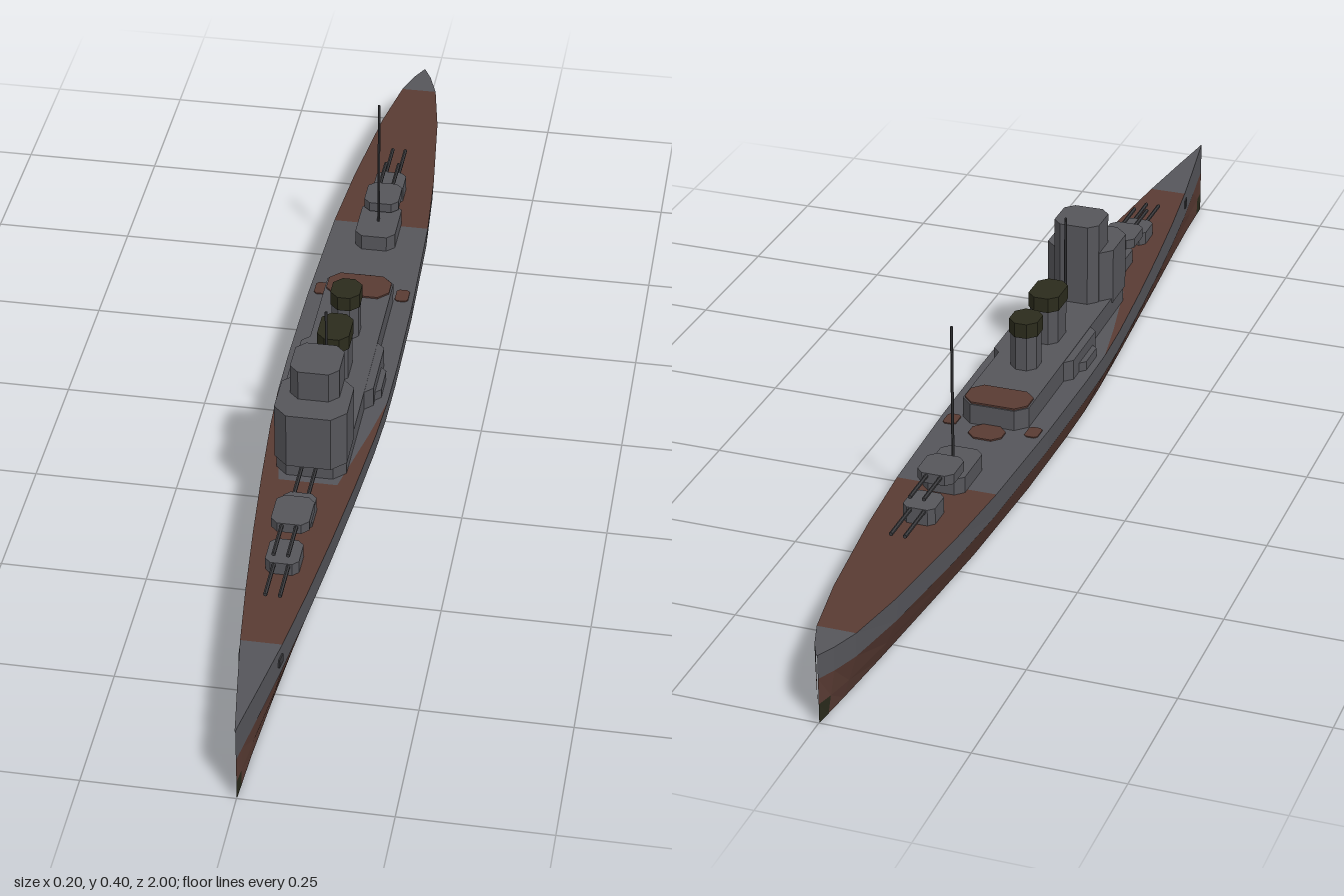
import * as THREE from 'three';

const mat = (name, color, side = THREE.FrontSide) => {
  const m = new THREE.MeshStandardMaterial({ color, flatShading: true, side });
  m.name = name;
  return m;
};

export function createModel() {
  const grey = mat('ship grey', 0x55555a);
  const red = mat('hull red', 0x593b33);
  const wood = mat('deck brown', 0x593b33);
  const dark = mat('funnel black', 0x2b2b1c);
  const gun = mat('gun grey', 0x3a3a3d);
  const ship = new THREE.Group();
  ship.name = 'warship';

  const add = (name, geo, material, parent = ship) => {
    const m = new THREE.Mesh(geo, material);
    m.name = name;
    parent.add(m);
    return m;
  };

  // Box with chamfered corners in plan; y0..y1 high, z0..z1 long
  const block = (name, hw, z0, z1, y0, y1, c, material = grey, x = 0) => {
    const h = (z1 - z0) / 2;
    const pts = [[hw, -h + c], [hw, h - c], [hw - c, h], [c - hw, h], [-hw, h - c], [-hw, c - h], [c - hw, -h], [hw - c, -h]];
    const shape = new THREE.Shape(pts.map(p => new THREE.Vector2(p[0], p[1])));
    const geo = new THREE.ExtrudeGeometry(shape, { depth: y1 - y0, bevelEnabled: false });
    geo.rotateX(-Math.PI / 2).translate(x, y0, (z0 + z1) / 2);
    return add(name, geo, material);
  };

  // Hull stations: z, half width at deck, half width at keel, deck height
  const stations = [
    [-1, 0.001, 0.001, 0.122], [-0.97, 0.016, 0.004, 0.122], [-0.92, 0.033, 0.009, 0.122],
    [-0.8, 0.054, 0.02, 0.122], [-0.6, 0.076, 0.036, 0.122], [-0.44, 0.088, 0.048, 0.122],
    [-0.2, 0.096, 0.058, 0.121], [0, 0.098, 0.06, 0.12], [0.1, 0.097, 0.059, 0.12],
    [0.2, 0.092, 0.055, 0.121], [0.35, 0.08, 0.045, 0.123], [0.5, 0.066, 0.034, 0.126],
    [0.65, 0.05, 0.023, 0.129], [0.78, 0.034, 0.013, 0.133], [0.9, 0.016, 0.005, 0.137],
    [0.97, 0.005, 0.002, 0.139], [1, 0.0005, 0.0005, 0.14],
  ];
  // Section points of one station from keel to deck edge
  const section = ([z, w, k, top]) => {
    const wl = w * 0.97;
    return [[k, 0, z], [k + (wl - k) * 0.42, 0.034, z], [wl, 0.08, z], [w, top, z]];
  };
  const flip = p => [-p[0], p[1], p[2]];
  const quads = { red: [], grey: [], wood: [], dark: [] };
  const quad = (key, a, b, c, d) => quads[key].push(...a, ...b, ...c, ...a, ...c, ...d);

  for (let s = 0; s < stations.length - 1; s++) {
    const A = section(stations[s]), B = section(stations[s + 1]);
    const end = s === 0 || s === stations.length - 2;
    for (let r = 0; r < 3; r++) {
      const key = r === 2 ? 'grey' : r === 0 && end ? 'dark' : 'red';
      quad(key, A[r], A[r + 1], B[r + 1], B[r]);
      quad(key, flip(B[r]), flip(B[r + 1]), flip(A[r + 1]), flip(A[r]));
    }
    quad('red', flip(A[0]), A[0], B[0], flip(B[0]));
    // Deck: planked fore and aft, tapering to side strips beside the bridge
    const a = A[3], b = B[3], z = (a[2] + b[2]) / 2;
    if (z > 0.1 && z < 0.35) {
      const inner = (p) => [p[0] - (p[2] - 0.1) * 0.12, p[1], p[2]];
      const ia = inner(a), ib = inner(b);
      quad('grey', flip(ia), flip(ib), ib, ia);
      quad('wood', ia, ib, b, a);
      quad('wood', flip(a), flip(b), flip(ib), flip(ia));
    } else {
      const planked = (z > -0.92 && z < -0.44) || (z > 0.35 && z < 0.78);
      quad(planked ? 'wood' : 'grey', flip(a), flip(b), b, a);
    }
  }
  const hull = new THREE.Group();
  hull.name = 'hull';
  ship.add(hull);
  const hullParts = { red: ['lowerHull', red], grey: ['upperHull', grey], wood: ['plankedDeck', wood], dark: ['hullEnds', dark] };
  for (const [key, [name, material]] of Object.entries(hullParts)) {
    const geo = new THREE.BufferGeometry();
    geo.setAttribute('position', new THREE.Float32BufferAttribute(quads[key], 3));
    geo.computeVertexNormals();
    add(name, geo, material, hull);
  }

  // Superstructure and bridge
  block('deckhouse', 0.06, -0.22, 0.335, 0.115, 0.158, 0.02);
  block('deckhouseWaist', 0.074, -0.02, 0.13, 0.115, 0.157, 0.015);
  block('aftPlanking', 0.057, -0.217, -0.15, 0.157, 0.161, 0.018, wood);
  block('deckPatch', 0.03, -0.27, -0.22, 0.12, 0.124, 0.014, wood);
  block('bridgeTower', 0.062, 0.225, 0.345, 0.15, 0.254, 0.024);
  block('bridgeTop', 0.042, 0.21, 0.295, 0.15, 0.31, 0.016);
  for (const s of [-1, 1]) {
    block('sidePlatform', 0.018, 0.025, 0.1, 0.115, 0.137, 0.01, grey, s * 0.066);
    block('sidePatch', 0.012, -0.235, -0.2, 0.119, 0.123, 0.005, wood, s * 0.074);
  }

  // Funnels with dark caps
  for (const [z0, z1, hw] of [[0.035, 0.108, 0.026], [-0.072, -0.018, 0.024]]) {
    block('funnel', hw, z0, z1, 0.15, 0.226, 0.014);
    block('funnelCap', hw + 0.002, z0 - 0.003, z1 + 0.003, 0.222, 0.249, 0.015, dark);
  }

  // Main turrets and their paired barrels
  const barrels = (y, z0, z1) => {
    for (const s of [-1, 1]) {
      const geo = new THREE.CylinderGeometry(0.0035, 0.0035, z1 - z0, 6);
      geo.rotateX(Math.PI / 2).translate(s * 0.012, y, (z0 + z1) / 2);
      add('gunBarrel', geo, gun);
    }
  };
  block('foreTurret', 0.028, 0.54, 0.603, 0.122, 0.151, 0.01);
  barrels(0.147, 0.6, 0.68);
  block('foreUpperBase', 0.028, 0.415, 0.48, 0.12, 0.151, 0.01);
  block('foreUpperPivot', 0.016, 0.455, 0.488, 0.145, 0.16, 0.008);
  block('foreUpperTurret', 0.032, 0.455, 0.53, 0.157, 0.175, 0.012);
  barrels(0.17, 0.525, 0.605);
  barrels(0.147, 0.34, 0.42);

  block('aftUpperBase', 0.037, -0.465, -0.355, 0.118, 0.151, 0.014);
  block('aftUpperPivot', 0.016, -0.475, -0.44, 0.145, 0.16, 0.008);
  block('aftUpperTurret', 0.032, -0.5, -0.43, 0.157, 0.175, 0.012);
  barrels(0.17, -0.575, -0.495);
  block('aftTurret', 0.028, -0.575, -0.515, 0.118, 0.151, 0.01);
  barrels(0.147, -0.66, -0.57);

  // Masts
  for (const [z, top] of [[0.165, 0.345], [-0.408, 0.402]]) {
    const geo = new THREE.CylinderGeometry(0.0025, 0.0025, top - 0.14, 6);
    add('mast', geo.translate(0, (top + 0.14) / 2, z), gun);
  }

  // Anchors on the bow flanks
  for (const s of [-1, 1]) {
    const anchor = add('anchor', new THREE.BoxGeometry(0.006, 0.016, 0.018), gun);
    anchor.position.set(s * 0.0315, 0.108, 0.79);
    anchor.rotation.y = -s * 0.14;
  }
  return ship;
}
